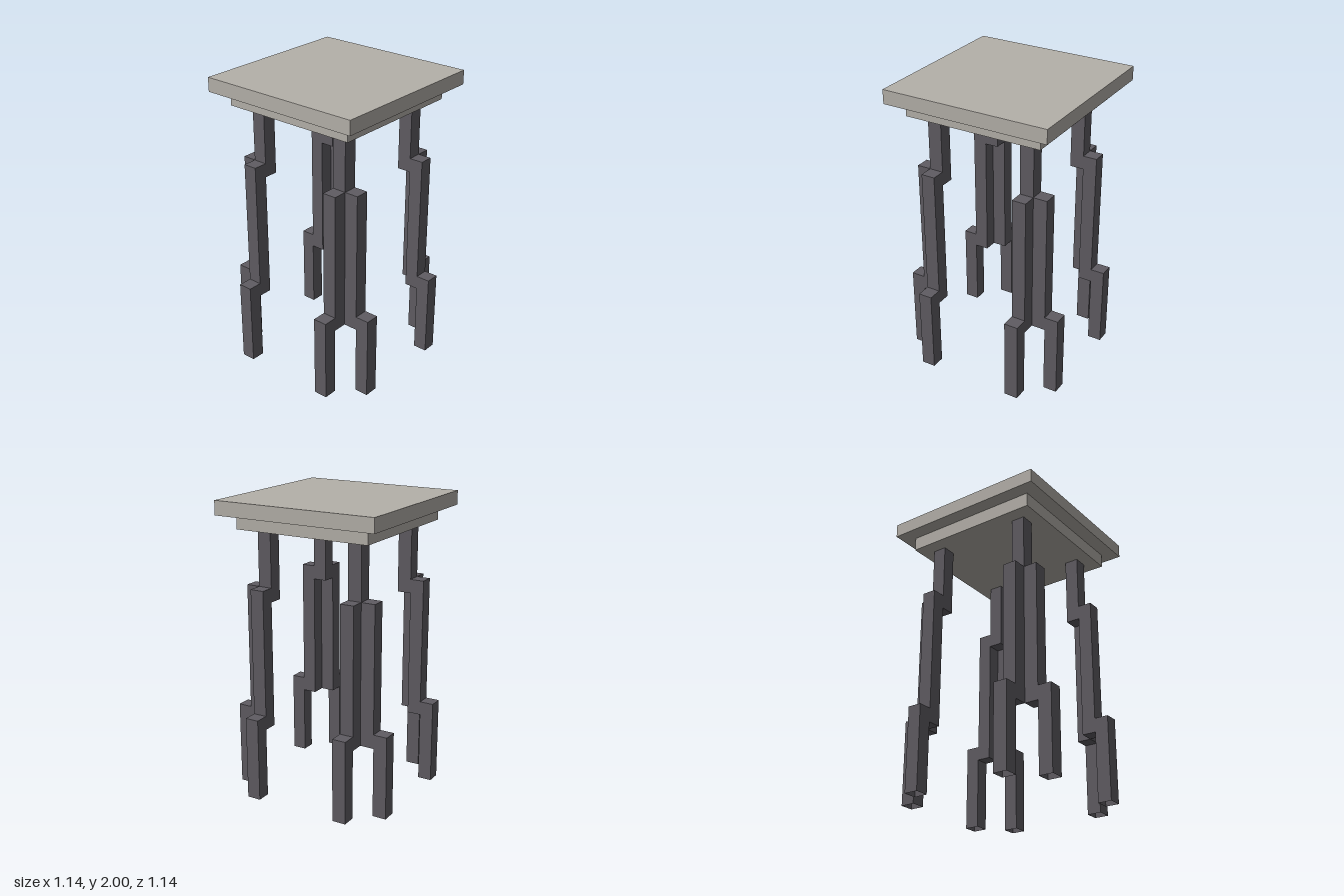
import * as THREE from 'three';

const U = 2 / 21; // one block of the grid

// Box given by its corner limits in blocks; openBottom drops the underside
function block(name, material, [x0, x1], [y0, y1], [z0, z1], openBottom = false) {
  const geometry = new THREE.BoxGeometry((x1 - x0) * U, (y1 - y0) * U, (z1 - z0) * U);
  if (openBottom) {
    const index = Array.from(geometry.index.array);
    index.splice(18, 6);
    geometry.setIndex(index);
    geometry.clearGroups();
  }
  const mesh = new THREE.Mesh(geometry, material);
  mesh.name = name;
  mesh.position.set((x0 + x1) / 2 * U, (y0 + y1) / 2 * U, (z0 + z1) / 2 * U);
  return mesh;
}

export function createModel() {
  const model = new THREE.Group();
  model.name = 'steppedStool';

  const stone = new THREE.MeshStandardMaterial({ color: 0xb4b0a9 });
  stone.name = 'pale stone';
  const iron = new THREE.MeshStandardMaterial({ color: 0x5f5c62, side: THREE.DoubleSide });
  iron.name = 'dark iron';

  // Stepped top
  model.add(block('topSlab', stone, [-6, 6], [20, 21], [-6, 6]));
  model.add(block('lowerSlab', stone, [-5, 5], [19, 20], [-5, 5]));

  // Four legs, each splitting outwards into two stepped branches
  for (let i = 0; i < 4; i++) {
    const leg = new THREE.Group();
    leg.name = 'leg' + (i + 1);
    leg.add(block('upperPost', iron, [3, 4], [14, 19], [3, 4]));
    leg.add(block('sideShaft', iron, [4, 5], [5, 15], [3, 4]));
    leg.add(block('frontShaft', iron, [3, 4], [5, 15], [4, 5]));
    leg.add(block('sideFoot', iron, [5, 6], [0, 6], [3, 4], true));
    leg.add(block('frontFoot', iron, [3, 4], [0, 6], [5, 6], true));
    leg.rotation.y = i * Math.PI / 2;
    model.add(leg);
  }
  return model;
}
